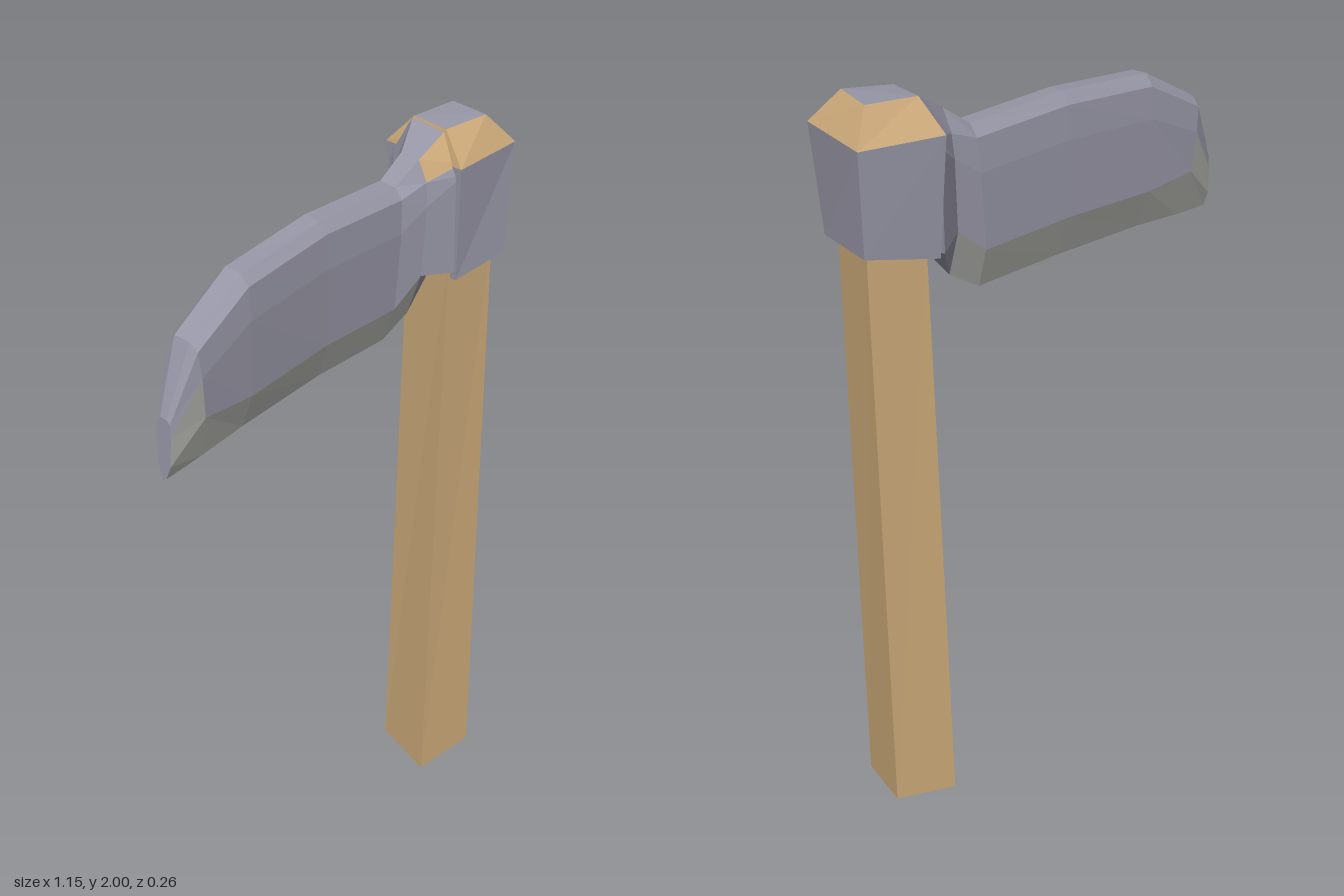
import * as THREE from 'three';

const material = (color) =>
  new THREE.MeshStandardMaterial({ color, flatShading: true });
const wood = material(0xcaa878);
const steel = material(0x9796a6);
const honed = material(0xa9a9a5);

// Skins a list of equal-length rings; pick(segment, side) gives each face's material.
// Caps are reported as side -1. Returns a named group with one mesh per material.
function loft(name, rings, pick) {
  const faces = new Map();
  const add = (mat, ...points) => {
    if (!faces.has(mat)) faces.set(mat, []);
    for (const p of points) faces.get(mat).push(...p);
  };
  const n = rings[0].length;
  const last = rings.length - 1;
  for (let s = 0; s < last; s++) {
    for (let i = 0; i < n; i++) {
      const j = (i + 1) % n;
      const [a, b, c, d] = [rings[s][i], rings[s][j], rings[s + 1][j], rings[s + 1][i]];
      add(pick(s, i), a, b, c, a, c, d);
    }
  }
  for (let i = 1; i < n - 1; i++) {
    add(pick(0, -1), rings[0][0], rings[0][i + 1], rings[0][i]);
    add(pick(last, -1), rings[last][0], rings[last][i], rings[last][i + 1]);
  }
  const group = new THREE.Group();
  group.name = name;
  for (const [mat, positions] of faces) {
    const geometry = new THREE.BufferGeometry();
    geometry.setAttribute('position', new THREE.Float32BufferAttribute(positions, 3));
    geometry.computeVertexNormals();
    const mesh = new THREE.Mesh(geometry, mat);
    mesh.name = name + (mat === wood ? 'Wood' : mat === steel ? 'Steel' : 'Edge');
    group.add(mesh);
  }
  return group;
}

// One blade cross-section, running from the spine down to the cutting edge.
// shoulder and bevel are fractions of that distance where the sides begin and end.
function bladeRing({ top, bottom, half, z = 0, shoulder = 0.07, bevel = 0.74, spine = 0.45 }) {
  const at = (t, w) => [
    top[0] + (bottom[0] - top[0]) * t,
    top[1] + (bottom[1] - top[1]) * t,
    z + w * half,
  ];
  return [
    at(0.01, spine), at(shoulder, 0.9), at(0.27, 1), at(bevel, 0.9), at(0.96, 0.3),
    at(1, -0.15), at(bevel, -0.9), at(0.27, -1), at(shoulder, -0.9), at(0, -spine),
  ];
}

export function createModel() {
  const model = new THREE.Group();
  model.name = 'sickleAxe';

  // Handle: slightly twisted, tapering square post
  model.add(loft('handle', [
    [[0.50, 0.03, 0.12], [0.535, 0.05, -0.05], [0.37, 0.025, -0.09], [0.33, 0, 0.08]],
    [[0.51, 1.68, 0.105], [0.535, 1.68, -0.04], [0.39, 1.68, -0.07], [0.365, 1.68, 0.08]],
  ], () => wood));

  // Head: steel collar, wooden chamfer and steel top plate
  model.add(loft('head', [
    [[0.53, 1.64, 0.13], [0.565, 1.66, -0.075], [0.38, 1.62, -0.11], [0.37, 1.61, 0.10]],
    [[0.56, 1.925, 0.125], [0.575, 1.92, -0.085], [0.37, 1.92, -0.13], [0.36, 1.91, 0.11]],
    [[0.50, 2, 0.075], [0.52, 2, -0.04], [0.39, 1.995, -0.06], [0.38, 1.99, 0.045]],
  ], (s, side) => (s === 1 && side >= 0 ? wood : steel)));

  // Blade: from the drooping tip to the neck that flares into the head
  const sections = [
    { top: [-0.572, 1.60], bottom: [-0.58, 1.44], half: 0.022, z: 0.005 },
    { top: [-0.50, 1.77], bottom: [-0.47, 1.447], half: 0.05, z: 0.002, bevel: 0.6 },
    { top: [-0.33, 1.87], bottom: [-0.33, 1.457], half: 0.052, z: 0 },
    { top: [-0.05, 1.895], bottom: [-0.05, 1.465], half: 0.051, z: -0.01 },
    { top: [0.23, 1.885], bottom: [0.20, 1.46], half: 0.052, z: -0.012 },
    { top: [0.30, 1.938], bottom: [0.28, 1.51], half: 0.06, z: 0, shoulder: 0.13, bevel: 0.7 },
    { top: [0.385, 1.99], bottom: [0.37, 1.615], half: 0.115, z: -0.01, shoulder: 0.2, bevel: 0.96 },
  ];
  model.add(loft('blade', sections.map(bladeRing), (s, side) => {
    const neck = s === sections.length - 2;
    if (neck && side === 0) return wood;
    if (!neck && side >= 3 && side <= 5) return honed;
    // small honed patch on both sides of the tip
    if (s === 0 && (side === 2 || side === 6)) return honed;
    return steel;
  }));

  return model;
}
